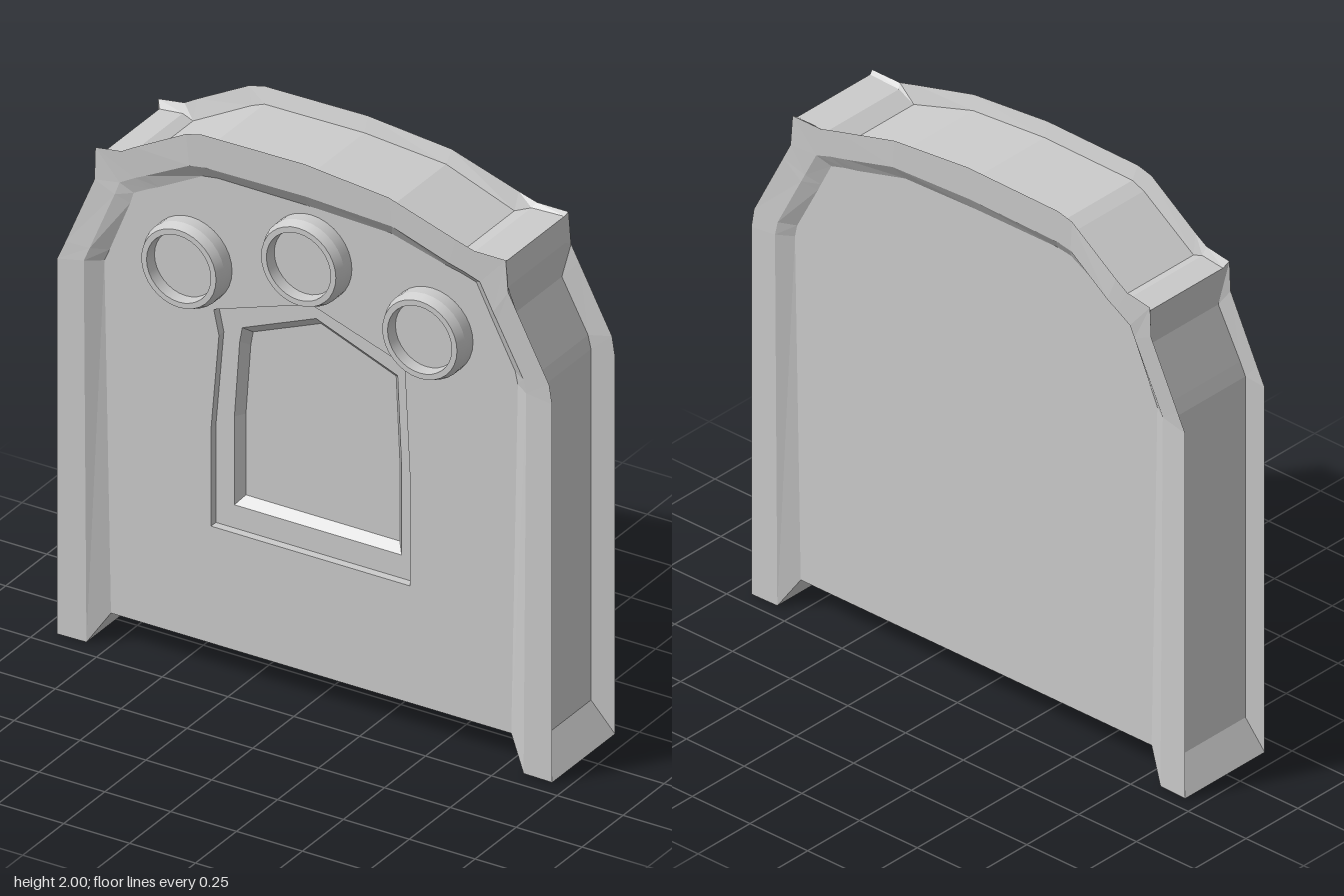
import * as THREE from 'three';

const material = new THREE.MeshStandardMaterial({ color: 0xcccccc, flatShading: true });
const smooth = new THREE.MeshStandardMaterial({ color: 0xcccccc });

// Rim stations, from the right foot over the top to the left foot:
// outer edge x, y | side channel floor x, y | inner edge of rim x, y
const stations = [
  [-0.94, 0, -0.87, 0.11, -0.83, 0],
  [-0.94, 1.38, -0.87, 1.4, -0.84, 1.4],
  [-0.91, 1.45, -0.85, 1.45, -0.82, 1.45],
  [-0.81, 1.7, -0.77, 1.64, -0.735, 1.665],
  [-0.81, 1.815, -0.795, 1.79, -0.72, 1.71],
  [-0.71, 1.83, -0.705, 1.8, -0.66, 1.745],
  [-0.66, 1.86, -0.665, 1.785, -0.62, 1.765],
  [-0.45, 1.98, -0.43, 1.92, -0.44, 1.865],
  [-0.39, 1.995, -0.38, 1.94, -0.38, 1.875],
  [0, 2, 0, 1.945, 0, 1.88],
  [0.32, 1.97, 0.31, 1.92, 0.33, 1.865],
  [0.58, 1.895, 0.575, 1.83, 0.55, 1.8],
  [0.65, 1.875, 0.64, 1.86, 0.61, 1.785],
  [0.77, 1.875, 0.765, 1.865, 0.67, 1.765],
  [0.78, 1.76, 0.77, 1.77, 0.72, 1.67],
  [0.81, 1.7, 0.755, 1.64, 0.735, 1.64],
  [0.93, 1.46, 0.85, 1.45, 0.83, 1.45],
  [0.94, 1.39, 0.86, 1.4, 0.84, 1.4],
  [0.94, 0, 0.86, 0.11, 0.83, 0],
];

const PANEL_FRONT = 0.145;
const PANEL_BACK = -0.16;

function mesh(name, geometry, mat = material) {
  const m = new THREE.Mesh(geometry, mat);
  m.name = name;
  return m;
}

function quadGeometry(quads) {
  const position = [];
  for (const [a, b, c, d] of quads) for (const p of [a, b, d, b, c, d]) position.push(...p);
  const g = new THREE.BufferGeometry();
  g.setAttribute('position', new THREE.Float32BufferAttribute(position, 3));
  g.computeVertexNormals();
  return g;
}

// Quads between neighbouring loops of equal length
function strips(loops, closed) {
  const quads = [];
  const n = loops[0].length;
  for (let k = 0; k < loops.length - 1; k++) {
    for (let i = 0; i < (closed ? n : n - 1); i++) {
      const j = (i + 1) % n;
      quads.push([loops[k][i], loops[k][j], loops[k + 1][j], loops[k + 1][i]]);
    }
  }
  return quads;
}

const toShape = (points) => new THREE.Shape(points.map(([x, y]) => new THREE.Vector2(x, y)));
const atZ = (points, z) => points.map(([x, y]) => [x, y, z]);

// Foot of the bevel inside the rim, moved towards the middle of the slab
function bevelFoot(x, y) {
  if (y === 0) return [Math.sign(x) * 0.76, 0.11];
  const dy = Math.max(y - 1.4, 0) * 1.5;
  const l = Math.hypot(x, dy);
  return [x - (0.055 * x) / l, y - (0.055 * dy) / l];
}

// The rim leans a little backwards at one shoulder and forwards at the other
function lean(x, y) {
  const shoulder = Math.max(0, 1 - Math.abs(y - 1.8) / 0.4);
  if (x < -0.5) return -0.026 * shoulder;
  return x > 0.5 ? 0.012 * shoulder : 0;
}

export function createModel() {
  const group = new THREE.Group();
  group.name = 'arched slab';

  const outer = stations.map((s) => [s[0], s[1]]);
  const channel = stations.map((s) => [s[2], s[3]]);
  const rim = stations.map((s) => [s[4], s[5]]);
  const panel = rim.map(([x, y]) => bevelFoot(x, y));
  const leaning = (points, z) => points.map(([x, y], i) => [x, y, z + lean(...outer[i])]);

  // Rim and side channel, wrapped from the front panel round to the back panel
  const loops = [
    atZ(panel, PANEL_FRONT), leaning(rim, 0.182), leaning(outer, 0.185), leaning(channel, 0.17),
    leaning(channel, -0.18), leaning(outer, -0.198), leaning(rim, -0.195), atZ(panel, PANEL_BACK),
  ];
  const quads = strips(loops, false);

  // Feet: inner slope, sole and channel end, on both sides
  const last = stations.length - 1;
  for (let k = 0; k < 3; k++) {
    const ring = [loops[k], loops[k + 1], loops[6 - k], loops[7 - k]];
    quads.push(ring.map((l) => l[0]), ring.map((l) => l[last]).reverse());
  }
  group.add(mesh('rim and feet', quadGeometry(quads)));

  // Underside between the feet
  const [front, back] = [loops[0], loops[7]];
  group.add(mesh('underside', quadGeometry([[front[last], front[0], back[0], back[last]]])));

  // Window outline, ledge and sunken floor
  const opening = [[-0.38, 0.54], [-0.38, 0.9], [-0.35, 1.25], [-0.37, 1.34],
    [0, 1.465], [0.355, 1.345], [0.375, 0.95], [0.375, 0.54]];
  const ledge = [[-0.31, 0.625], [-0.31, 0.95], [-0.29, 1.23], [-0.28, 1.285],
    [0, 1.4], [0.31, 1.28], [0.325, 0.95], [0.325, 0.625]];
  const floor = ledge.map(([x, y]) => [0.005 + (x - 0.005) * 0.92, 1 + (y - 1) * 0.92]);
  const ledgeZ = PANEL_FRONT - 0.03;
  const floorZ = ledgeZ - 0.03;

  const frontShape = toShape(panel);
  frontShape.holes.push(toShape(opening));
  group.add(mesh('front panel', new THREE.ShapeGeometry(frontShape).translate(0, 0, PANEL_FRONT)));
  const backShape = toShape(panel.map(([x, y]) => [-x, y]));
  group.add(mesh('back panel', new THREE.ShapeGeometry(backShape).rotateY(Math.PI).translate(0, 0, PANEL_BACK)));

  group.add(mesh('window frame', quadGeometry(strips(
    [atZ(floor, floorZ), atZ(ledge, ledgeZ), atZ(opening, ledgeZ), atZ(opening, PANEL_FRONT)], true))));
  group.add(mesh('window floor', new THREE.ShapeGeometry(toShape(floor)).translate(0, 0, floorZ)));

  // Three round bosses with sunken centres; doubled points keep the edges sharp
  const profile = [[0.155, 0.13], [0.155, 0.19], [0.155, 0.19], [0.142, 0.222], [0.142, 0.222],
    [0.122, 0.222], [0.122, 0.222], [0.118, 0.18], [0.118, 0.18], [0, 0.18]];
  const boss = new THREE.LatheGeometry(profile.map(([r, h]) => new THREE.Vector2(r, h)), 32).rotateX(Math.PI / 2);
  for (const [x, y] of [[-0.455, 1.5], [0, 1.64], [0.46, 1.505]]) {
    const m = mesh('round boss', boss, smooth);
    m.position.set(x, y, 0);
    group.add(m);
  }
  return group;
}
